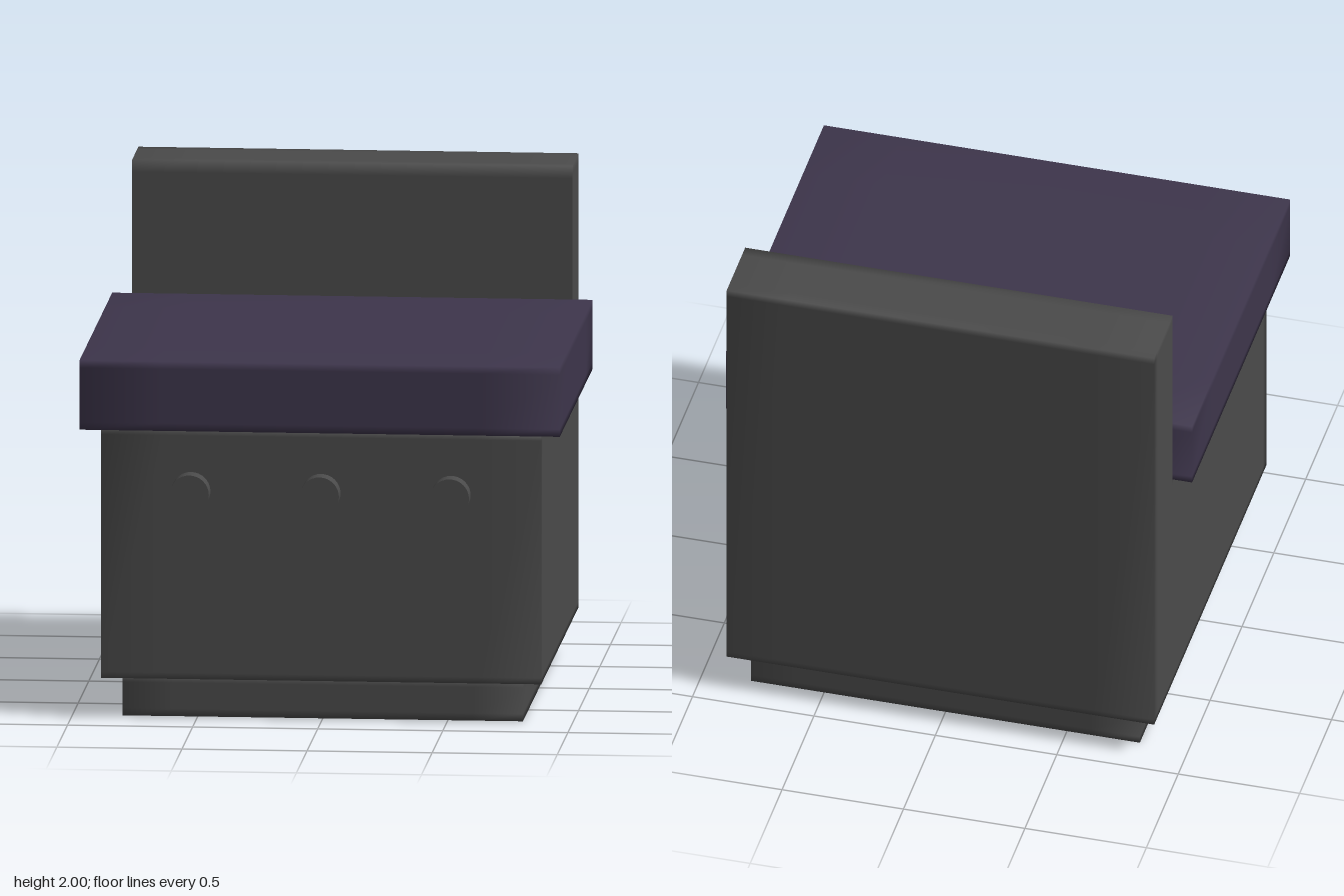
import * as THREE from 'three';
import { mergeVertices } from 'three/addons/utils/BufferGeometryUtils.js';

// Box whose edge loops sit at the listed coordinates, with softly blended normals.
// ys may be a function of the z loop index, so the box can step in height.
function softBox(xs, ys, zs) {
  const rows = typeof ys === 'function' ? ys : () => ys;
  const n = [xs.length - 1, rows(0).length - 1, zs.length - 1];
  const geo = new THREE.BoxGeometry(1, 1, 1, ...n);
  const pos = geo.attributes.position;
  for (let i = 0; i < pos.count; i++) {
    const ix = Math.round((pos.getX(i) + 0.5) * n[0]);
    const iy = Math.round((pos.getY(i) + 0.5) * n[1]);
    const iz = Math.round((pos.getZ(i) + 0.5) * n[2]);
    pos.setXYZ(i, xs[ix], rows(iz)[iy], zs[iz]);
  }
  geo.deleteAttribute('normal');
  geo.deleteAttribute('uv');
  geo.clearGroups();
  const merged = mergeVertices(geo);
  merged.computeVertexNormals();
  return merged;
}

// Four loops: two ends and an inset from each
const loops = (a, b, inset) => [a, a + inset, b - inset, b];

export function createModel() {
  const grey = new THREE.MeshStandardMaterial({ color: 0x4a4a4a });
  grey.name = 'dark grey';
  const purple = new THREE.MeshStandardMaterial({ color: 0x3d354b });
  purple.name = 'dark purple';

  const model = new THREE.Group();
  model.name = 'stove';
  const add = (name, geo, mat) => {
    const mesh = new THREE.Mesh(geo, mat);
    mesh.name = name;
    model.add(mesh);
    return mesh;
  };

  // Recessed plinth
  add('plinth', softBox(loops(-0.8, 0.8, 0.2), loops(0, 0.165, 0.03), loops(-0.84, 0.76, 0.2)), grey);

  // L-shaped body: the top steps up to the rear panel at z = -0.63
  const bodyZ = [-0.92, -0.87, -0.68, -0.63, -0.63, -0.63, -0.63, -0.58, 0.79, 0.84];
  const bodyTop = [2, 2, 2, 2, 1.95, 1.23, 1.18, 1.18, 1.18, 1.18];
  const bodyRows = (iz) => [0.165, 0.19, bodyTop[iz] - 0.03, bodyTop[iz]];
  add('body', softBox(loops(-0.88, 0.88, 0.25), bodyRows, bodyZ), grey);

  // Overhanging top slab
  add('topSlab', softBox(loops(-0.96, 0.96, 0.32), loops(1.18, 1.46, 0.03), loops(-0.63, 0.91, 0.32)), purple);

  // Front knobs
  const knobGeo = new THREE.CylinderGeometry(0.078, 0.078, 0.09, 32);
  knobGeo.rotateX(Math.PI / 2);
  for (const x of [-0.52, 0, 0.52]) {
    add('knob', knobGeo, grey).position.set(x, 0.925, 0.875);
  }
  return model;
}
